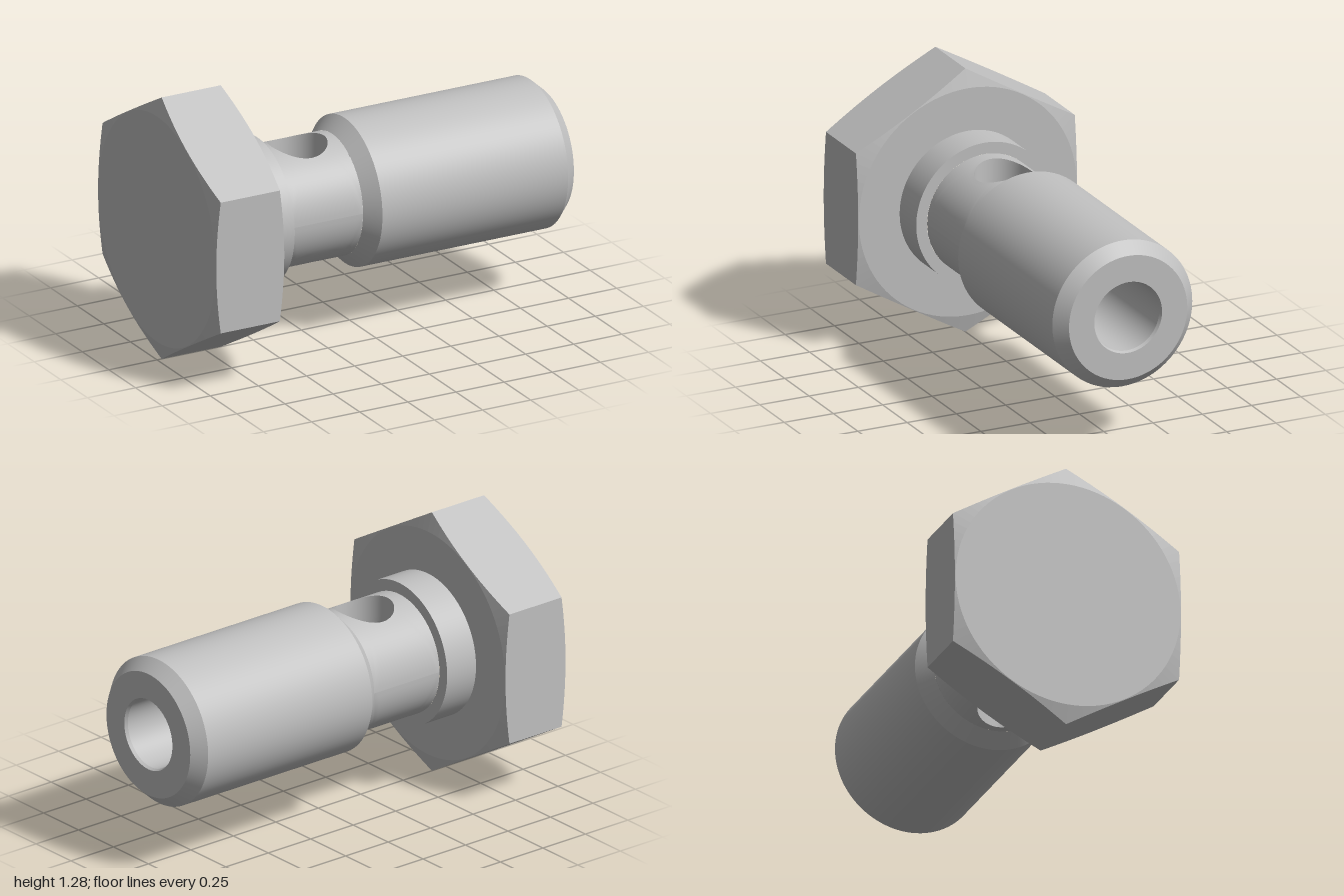
import * as THREE from 'three';

const AXIS_Y = 0.64;
const HOLE_X = -0.27, HOLE_R = 0.137;
const NECK_R = 0.29, BORE_R = 0.165;

// Indexed grid closed in u; faces look along (du x dv)
function grid(fn, nu, nv) {
  const pos = [], idx = [];
  for (let j = 0; j <= nv; j++)
    for (let i = 0; i < nu; i++) pos.push(...fn(i / nu, j / nv));
  for (let j = 0; j < nv; j++)
    for (let i = 0; i < nu; i++) {
      const k = (i + 1) % nu;
      const a = j * nu + i, b = j * nu + k, c = (j + 1) * nu + k, d = (j + 1) * nu + i;
      idx.push(a, b, c, a, c, d);
    }
  const g = new THREE.BufferGeometry();
  g.setAttribute('position', new THREE.Float32BufferAttribute(pos, 3));
  g.setIndex(idx);
  g.computeVertexNormals();
  return g;
}

// Half cylinder (upper side) from x0 to x1 with the round cross hole cut out
function holedHalf(R, x0, x1, inward) {
  const cx = (x0 + x1) / 2, hx = (x1 - x0) / 2;
  return grid((u, v) => {
    const t = u * Math.PI * 2 * (inward ? -1 : 1);
    const c = Math.cos(t), s = Math.sin(t), m = Math.max(Math.abs(c), Math.abs(s));
    const x = THREE.MathUtils.lerp(HOLE_X + HOLE_R * c, cx + hx * c / m, v);
    const a = THREE.MathUtils.lerp(Math.asin(HOLE_R * s / R), Math.PI / 2 * s / m, v);
    return [x, R * Math.cos(a), R * Math.sin(a)];
  }, 96, 14);
}

// Wall of the cross hole between bore and neck surface
function holeWall() {
  return grid((u, v) => {
    const t = u * Math.PI * 2, z = HOLE_R * Math.sin(t);
    const yIn = Math.sqrt(BORE_R ** 2 - z * z), yOut = Math.sqrt(NECK_R ** 2 - z * z);
    return [HOLE_X + HOLE_R * Math.cos(t), THREE.MathUtils.lerp(yIn, yOut, v), z];
  }, 96, 4);
}

// Hexagonal head whose corners are turned down by a shallow cone on both faces
function hexHead() {
  const x0 = -1, x1 = -0.645, flat = 0.555, rim = 0.552;
  const g = grid((u, v) => {
    const a = u * Math.PI * 2;
    const r = flat / Math.cos((a % (Math.PI / 3)) - Math.PI / 6);
    const drop = (r - rim) * 0.27;
    const profile = [[x0, 0], [x0, rim], [x0 + drop, r], [x1 - drop, r], [x1, rim], [x1, 0.3]];
    const [x, q] = profile[Math.round(v * 5)];
    return [x, q * Math.cos(a), q * Math.sin(a)];
  }, 96, 5).toNonIndexed();
  g.computeVertexNormals();
  return g;
}

export function createModel() {
  const steel = new THREE.MeshStandardMaterial({ color: 0xc0c0c0 });
  steel.name = 'steel';
  const model = new THREE.Group();
  model.name = 'hollowBolt';
  const body = new THREE.Group();
  body.name = 'boltBody';
  body.position.y = AXIS_Y;
  model.add(body);

  const add = (name, geometry, parent = body) => {
    const mesh = new THREE.Mesh(geometry, steel);
    mesh.name = name;
    parent.add(mesh);
    return mesh;
  };
  // Turned surfaces: each [x, r] pair of neighbours is its own band, keeping edges crisp
  const turned = (name, points) => {
    const part = new THREE.Group();
    part.name = name;
    body.add(part);
    for (let i = 0; i < points.length - 1; i++) {
      const band = [points[i], points[i + 1]].map(([x, r]) => new THREE.Vector2(r, x));
      add(name + 'Band' + (i + 1), new THREE.LatheGeometry(band, 96).rotateZ(-Math.PI / 2), part);
    }
  };

  add('hexHead', hexHead());
  turned('collar', [[-0.645, 0.345], [-0.475, 0.345], [-0.475, NECK_R]]);
  turned('shank', [[-0.09, NECK_R], [-0.025, 0.355], [0.94, 0.355], [1, 0.3], [1, 0.172]]);
  turned('bore', [[1, 0.172], [0.985, BORE_R], [-0.1, BORE_R]]);
  turned('boreTip', [[-0.43, BORE_R], [-0.54, 0]]);

  // Drilled neck: the same half above and below
  for (const [side, angle] of [['upper', 0], ['lower', Math.PI]]) {
    const half = new THREE.Group();
    half.name = side + 'NeckHalf';
    half.rotation.x = angle;
    body.add(half);
    add(side + 'Neck', holedHalf(NECK_R, -0.475, -0.09, false), half);
    add(side + 'NeckBore', holedHalf(BORE_R, -0.43, -0.1, true), half);
    add(side + 'CrossHole', holeWall(), half);
  }
  return model;
}
